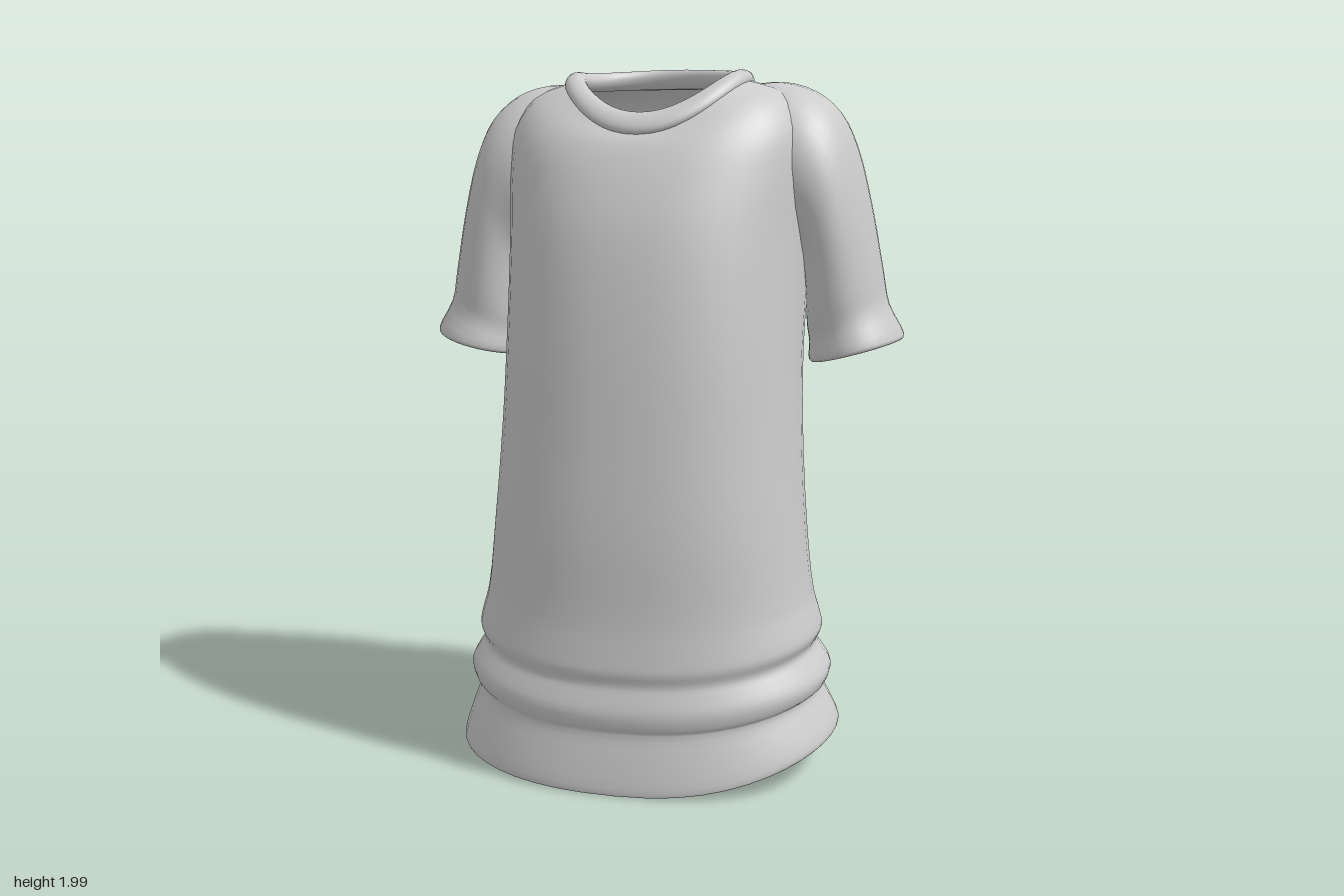
import * as THREE from 'three';

const material = new THREE.MeshStandardMaterial({ color: 0xcccccc, side: THREE.DoubleSide });

// Smooth skin through closed rings of points; every column is a spline.
function loft(name, rings) {
  const n = rings[0].length, rows = (rings.length - 1) * 3 + 1;
  const pos = [], index = [];
  for (let j = 0; j < n; j++) {
    const curve = new THREE.CatmullRomCurve3(rings.map(r => r[j]), false, 'centripetal');
    for (let i = 0; i < rows; i++) pos.push(...curve.getPoint(i / (rows - 1)).toArray());
    for (let i = 0; i < rows - 1; i++) {
      const a = j * rows + i, b = ((j + 1) % n) * rows + i;
      index.push(a, a + 1, b, b, a + 1, b + 1);
    }
  }
  const geometry = new THREE.BufferGeometry();
  geometry.setAttribute('position', new THREE.Float32BufferAttribute(pos, 3));
  geometry.setIndex(index);
  geometry.computeVertexNormals();
  const mesh = new THREE.Mesh(geometry, material);
  mesh.name = name;
  return mesh;
}

// Rounded ring around the body: heights at front, back and left side, half width,
// front z, back z, z of the widest point, squareness, height at the right side.
function bodyRing(yF, yB, yL, w, zF, zB, zS, e = 0.86, yR = yL) {
  const pts = [];
  for (let j = 0; j < 48; j++) {
    const a = j / 48 * Math.PI * 2, c = Math.cos(a), s = Math.sin(a);
    const reach = s > 0 ? zF - zS : zS - zB;
    pts.push(new THREE.Vector3(
      Math.sign(c) * w * Math.abs(c) ** e,
      c * c * (c > 0 ? yL : yR) + s * s * (s > 0 ? yF : yB),
      zS + Math.sign(s) * reach * Math.abs(s) ** e));
  }
  return pts;
}

// Hem and fold ring: sags at the front, and the hem lifts on the left side.
function foldRing([y, out]) {
  const k = Math.max(0, 1 - y / 0.25);
  const sag = y < 0.45 ? 0.055 - 0.03 * k : 0.02;
  return bodyRing(y - sag, y, y + 0.09 * k, 0.48 + out,
    0.38 + 0.45 * out, -0.34 - 0.85 * out, 0, 0.86, y + 0.01 * k);
}

// Neckband ring: one step around a round section that follows the tilted neckline.
function bandRing(angle) {
  const out = 0.031 * Math.cos(angle), up = 0.027 * Math.sin(angle);
  return bodyRing(1.825 + up - 0.6 * out, 1.968 + up - 0.4 * out, 1.955 + up,
    0.24 + out, 0.14 + out, -0.31 - 0.7 * out, -0.1, 0.98);
}

// Sleeve ring: upper and lower point in x and y, and half depth.
function sleeveRing([tx, ty, bx, by, depth]) {
  const pts = [];
  for (let j = 0; j < 32; j++) {
    const a = j / 32 * Math.PI * 2, c = Math.cos(a);
    pts.push(new THREE.Vector3(
      (tx + bx) / 2 + (tx - bx) / 2 * c,
      (ty + by) / 2 + (ty - by) / 2 * c,
      -0.18 - depth * Math.sin(a)));
  }
  return pts;
}

export function createModel() {
  const group = new THREE.Group();
  group.name = 'shirt';

  // Turned-in hem and two bunched folds: height and outward bulge
  const folds = [
    [0.2, -0.02], [0.05, 0.05], [0.034, 0.07], [0.06, 0.072], [0.15, 0.045],
    [0.225, 0.022], [0.245, 0.037], [0.285, 0.047], [0.33, 0.022],
    [0.36, 0.005], [0.395, 0.02], [0.43, 0.015], [0.5, -0.005],
  ];
  // Trunk and shoulders up to the neckline
  const trunk = [
    [0.7, 0.7, 0.7, 0.452, 0.376, -0.33, 0],
    [1, 1, 1, 0.432, 0.357, -0.322, -0.03],
    [1.2, 1.2, 1.2, 0.427, 0.342, -0.345, -0.06],
    [1.4, 1.4, 1.4, 0.43, 0.318, -0.392, -0.11],
    [1.55, 1.58, 1.55, 0.435, 0.288, -0.412, -0.14],
    [1.66, 1.72, 1.7, 0.44, 0.25, -0.408, -0.15],
    [1.73, 1.82, 1.83, 0.43, 0.218, -0.392, -0.16],
    [1.775, 1.9, 1.915, 0.37, 0.19, -0.365, -0.15],
    [1.805, 1.955, 1.955, 0.25, 0.155, -0.325, -0.1],
  ];
  group.add(loft('torso', [...folds.map(foldRing), ...trunk.map(r => bodyRing(...r))]));

  // Rolled neckband, with its seam underneath
  const band = [];
  for (let i = 0; i <= 8; i++) band.push(bandRing((i / 4 - 0.5) * Math.PI));
  group.add(loft('neckband', band));

  // Sleeve: shoulder cap, arm, flared cuff and turned-in lining
  const arm = [
    [0.25, 1.945, 0.3, 1.55, 0.17],
    [0.35, 1.95, 0.35, 1.5, 0.2],
    [0.44, 1.923, 0.385, 1.47, 0.212],
    [0.51, 1.865, 0.405, 1.44, 0.21],
    [0.558, 1.77, 0.415, 1.41, 0.204],
    [0.603, 1.6, 0.42, 1.36, 0.196],
    [0.64, 1.41, 0.425, 1.26, 0.182],
    [0.658, 1.32, 0.432, 1.21, 0.174],
    [0.702, 1.235, 0.432, 1.16, 0.188],
    [0.697, 1.222, 0.445, 1.153, 0.18],
    [0.665, 1.235, 0.465, 1.175, 0.155],
    [0.615, 1.42, 0.45, 1.29, 0.155],
  ];
  for (const side of [1, -1]) {
    const sleeve = loft(side > 0 ? 'leftSleeve' : 'rightSleeve', arm.map(sleeveRing));
    sleeve.scale.x = side;
    group.add(sleeve);
  }
  return group;
}
